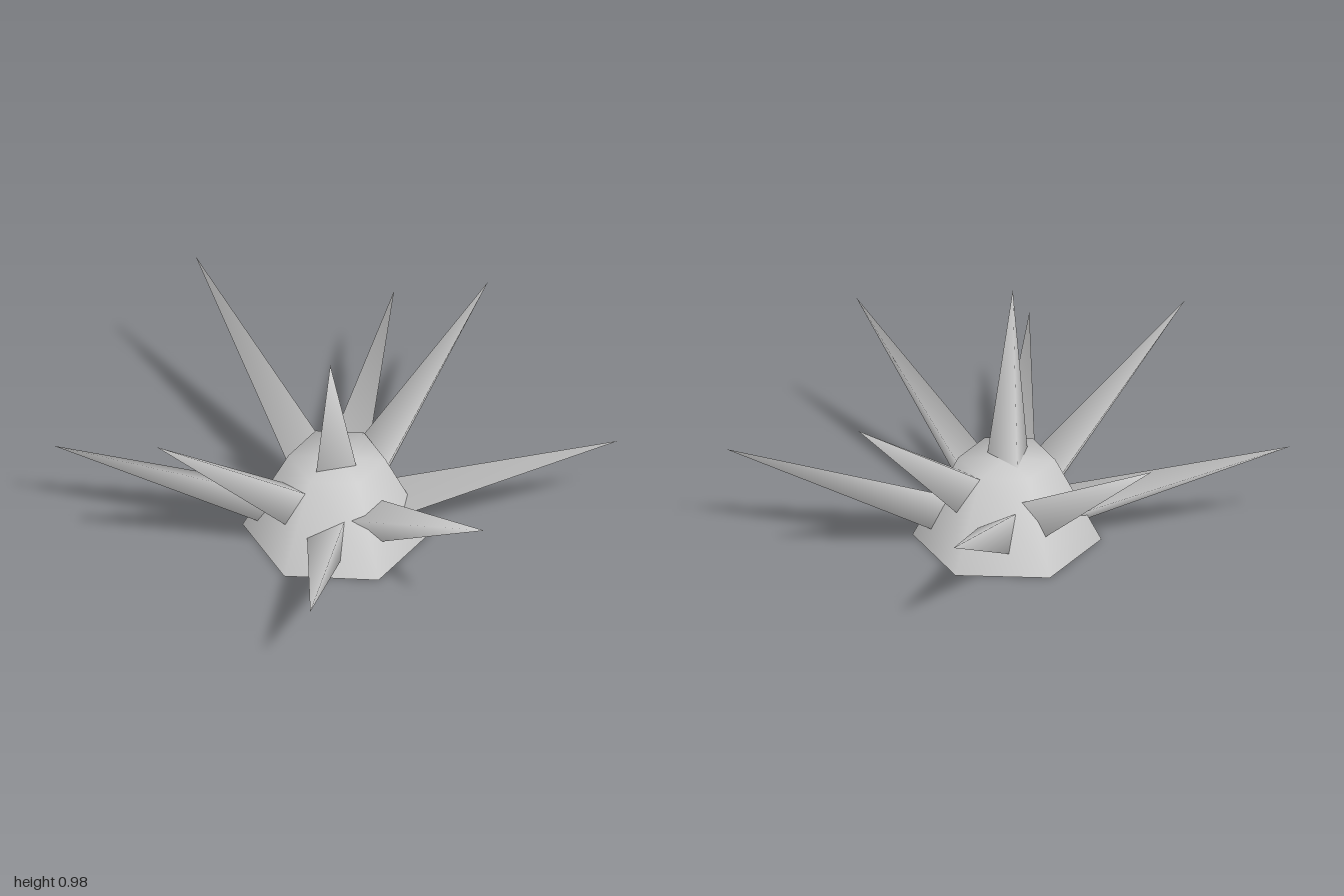
import * as THREE from 'three';
import { mergeVertices } from 'three/addons/utils/BufferGeometryUtils.js';

const ORIGIN = new THREE.Vector3(0.01, 0.05, -0.045);

// Each spike: tip position, the direction of one corner of its triangular section,
// and its own buried base and radius where it does not radiate from the origin
const SPIKES = [
  { tip: [0.08, 0.98, 0.17], corner: [1, 0, -0.15], base: [-0.005, 0.25, -0.045], radius: 0.11 },
  { tip: [0.36, 0.41, 0.965], corner: [0.52, 0.85, 0] },
  { tip: [-0.425, 0.78, 0.695], corner: [1, 0.6, 0], radius: 0.112 },
  { tip: [-1.0, 0.4, 0.41], corner: [0, 0, -1] },
  { tip: [0.875, 0.62, 0.455], corner: [-0.6, 0.3, 0.7] },
  { tip: [1.0, 0.415, -0.525], corner: [0, 0.88, -0.47] },
  { tip: [-0.17, 0.465, -0.97], corner: [1, 0, 0], base: [-0.05, 0.11, -0.17] },
  { tip: [0.315, 0.79, -0.795], corner: [0, -1, 0], base: [0.085, 0.19, -0.1], radius: 0.12 },
  { tip: [-0.825, 0.73, -0.535], corner: [0, 0, 1], radius: 0.11 },
];

// Three-sided cone whose faces share their normals at the corners and the tip
function spikeGeometry(radius, length) {
  const cone = new THREE.ConeGeometry(radius, length, 3, 1, true);
  cone.deleteAttribute('normal');
  cone.deleteAttribute('uv');
  const smooth = mergeVertices(cone);
  smooth.computeVertexNormals();
  return smooth;
}

export function createModel() {
  const group = new THREE.Group();
  const material = new THREE.MeshStandardMaterial({ color: 0xcccccc });

  const addHexLathe = (name, profile) => {
    const points = profile.map(([r, y]) => new THREE.Vector2(r, y));
    const mesh = new THREE.Mesh(new THREE.LatheGeometry(points, 6, -0.16), material);
    mesh.name = name;
    mesh.position.set(ORIGIN.x, 0, ORIGIN.z);
    group.add(mesh);
  };

  // Six-sided dome with a flat top, and its flat underside
  addHexLathe('dome', [[0.37, 0], [0.19, 0.35], [0, 0.35]]);
  addHexLathe('domeUnderside', [[0, 0], [0.37, 0]]);

  // Spikes radiating from inside the dome
  SPIKES.forEach(({ tip, corner, base, radius = 0.106 }, i) => {
    const end = new THREE.Vector3(...tip);
    const start = base ? new THREE.Vector3(...base) : ORIGIN.clone().lerp(end, 0.13);
    const axis = end.clone().sub(start).normalize();
    const side = new THREE.Vector3(...corner).projectOnPlane(axis).normalize();
    const across = new THREE.Vector3().crossVectors(axis, side);

    const spike = new THREE.Mesh(spikeGeometry(radius, start.distanceTo(end)), material);
    spike.name = `spike${i + 1}`;
    spike.quaternion.setFromRotationMatrix(new THREE.Matrix4().makeBasis(across, axis, side));
    spike.position.copy(start).lerp(end, 0.5);
    group.add(spike);
  });

  return group;
}
